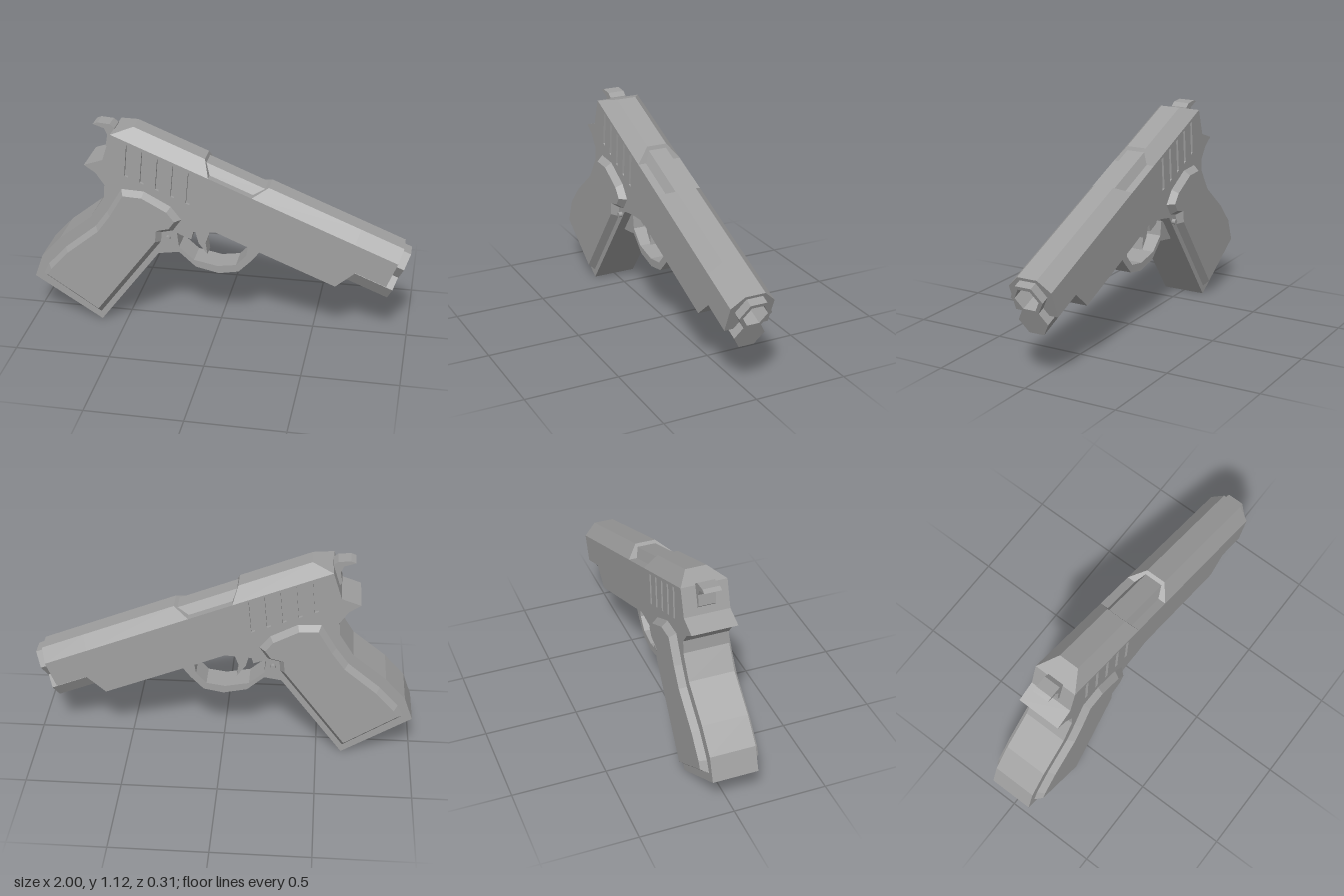
import * as THREE from 'three';

const TILT = 22 * Math.PI / 180;
const C = Math.cos(TILT), S = Math.sin(TILT);
// slide-aligned (along, up) to upright (x, y)
const W = (u, v) => [C * u + S * v, -S * u + C * v];

const toShape = (pts) => new THREE.Shape(pts.map(([x, y]) => new THREE.Vector2(x, y)));
const hexagon = (r, y) => Array.from({ length: 6 }, (_, i) =>
  [r * Math.cos(i * Math.PI / 3), y + r * Math.sin(i * Math.PI / 3)]);

export function createModel() {
  const model = new THREE.Group();
  const steel = new THREE.MeshStandardMaterial({ color: 0xa0a0a0 });
  steel.name = 'grey steel';

  const slide = new THREE.Group();
  slide.name = 'slide';
  slide.rotation.z = -TILT;
  model.add(slide);

  function add(name, geometry, parent = model) {
    const mesh = new THREE.Mesh(geometry, steel);
    mesh.name = name;
    parent.add(mesh);
    return mesh;
  }

  // Side profile given thickness, centred on z = 0
  function plate(name, pts, half, holes = []) {
    const shape = toShape(pts);
    holes.forEach((h) => shape.holes.push(toShape(h)));
    const geo = new THREE.ExtrudeGeometry(shape, { depth: half * 2, bevelEnabled: false });
    return add(name, geo.translate(0, 0, -half));
  }

  // Cross-section run along the slide from u0 to u1
  function bar(name, section, u0, u1, hole) {
    const shape = toShape(section);
    if (hole) shape.holes.push(toShape(hole));
    const geo = new THREE.ExtrudeGeometry(shape, { depth: u1 - u0, bevelEnabled: false });
    return add(name, geo.rotateY(Math.PI / 2).translate(u0, 0, 0), slide);
  }

  // Box with separate lower and upper rectangles
  function block(name, low, high) {
    const geo = new THREE.BoxGeometry(1, 1, 1);
    const p = geo.attributes.position;
    for (let i = 0; i < p.count; i++) {
      const r = p.getY(i) > 0 ? high : low;
      p.setXYZ(i, p.getX(i) > 0 ? r.to : r.from, r.v, Math.sign(p.getZ(i)) * r.half);
    }
    geo.computeVertexNormals();
    return add(name, geo, slide);
  }

  // Frame, lower slide and grip, with grip grooves cut into the slide
  const grooves = [0, 1, 2, 3, 4].map((i) => {
    const x = -0.462 + i * 0.0802, y = 1.032 - i * 0.0324;
    return [[x - 0.01, y], [x + 0.01, y - 0.004], [x - 0.005, y - 0.18], [x - 0.025, y - 0.172]];
  });
  plate('frame', [
    W(-0.92, 0.797), [-0.6, 0.94], [-0.7, 0.905], [-0.64, 0.865], [-0.595, 0.8], [-0.6, 0.73],
    [-0.675, 0.61], [-0.85, 0.47], [-0.955, 0.355], [-1, 0.23], [-0.635, 0], [-0.22, 0.555],
    [-0.135, 0.57], [-0.01, 0.578], W(-0.03, 0.53), W(0.456, 0.53), W(0.517, 0.65),
    W(0.45, 0.65), W(0.45, 0.797),
  ], 0.12, grooves);
  block('grooveFloor',
    { from: -0.84, to: -0.3, v: 0.57, half: 0.104 },
    { from: -0.84, to: -0.3, v: 0.79, half: 0.104 });

  // Chamfered slide top on both sides of the ejection port
  block('rearSlideTop',
    { from: -0.92, to: -0.374, v: 0.797, half: 0.12 },
    { from: -0.83, to: -0.429, v: 0.861, half: 0.055 });
  block('frontSlideTop',
    { from: -0.13, to: 0.45, v: 0.797, half: 0.12 },
    { from: -0.07, to: 0.45, v: 0.861, half: 0.055 });
  block('barrelInPort',
    { from: -0.42, to: -0.08, v: 0.79, half: 0.08 },
    { from: -0.42, to: -0.08, v: 0.845, half: 0.05 });

  // Hollow front of the slide, muzzle and spring housing
  const bore = hexagon(0.068, 0.766);
  bar('slideNose', [[-0.12, 0.65], [0.12, 0.65], [0.12, 0.797], [0.055, 0.861],
    [-0.055, 0.861], [-0.12, 0.797]], 0.45, 0.691, bore);
  bar('muzzle', hexagon(0.09, 0.766), 0.69, 0.736, bore);
  bar('springHousing', hexagon(0.084, 0.629), 0.46, 0.734);

  // Raised grip panels with bevelled rims on both sides
  const panel = toShape([
    [-0.505, 0.785], [-0.585, 0.65], [-0.65, 0.56], [-0.82, 0.42], [-0.92, 0.31], [-0.95, 0.25],
    [-0.64, 0.045], [-0.3, 0.5], [-0.295, 0.555], [-0.235, 0.57], [-0.19, 0.635],
    [-0.245, 0.705], [-0.385, 0.78],
  ]);
  add('gripPanels', new THREE.ExtrudeGeometry(panel, {
    depth: 0.24, bevelThickness: 0.035, bevelSize: 0.025, bevelOffset: -0.025, bevelSegments: 1,
  }).translate(0, 0, -0.12));

  // Trigger guard
  plate('triggerGuard', [
    [-0.34, 0.4], [-0.215, 0.42], [-0.125, 0.34], [0, 0.313], [0.105, 0.333], [0.175, 0.405],
    [0.24, 0.49], [0.16, 0.52], [0.145, 0.43], [0.09, 0.37], [-0.008, 0.355], [-0.135, 0.38],
    [-0.215, 0.45], [-0.225, 0.53], [-0.3, 0.5],
  ], 0.07);

  // Trigger
  plate('trigger', [
    [-0.145, 0.6], [-0.135, 0.54], [-0.115, 0.465], [-0.068, 0.405], [-0.078, 0.47],
    [-0.055, 0.535], [-0.05, 0.6],
  ], 0.04);
  plate('triggerBar', [[-0.235, 0.515], [-0.155, 0.485], [-0.13, 0.58], [-0.225, 0.58]], 0.04);

  // Hammer
  plate('hammer', [
    [-0.665, 1.105], [-0.605, 1.085], [-0.59, 1.05], [-0.6, 0.99], [-0.56, 0.95],
    [-0.54, 1.03], [-0.55, 1.09], [-0.575, 1.11], [-0.64, 1.115],
  ], 0.045);

  // Cross pin beside the trigger
  const pin = add('crossPin', new THREE.CylinderGeometry(0.015, 0.015, 0.28, 8).rotateX(Math.PI / 2));
  pin.position.set(-0.262, 0.525, 0);

  return model;
}
